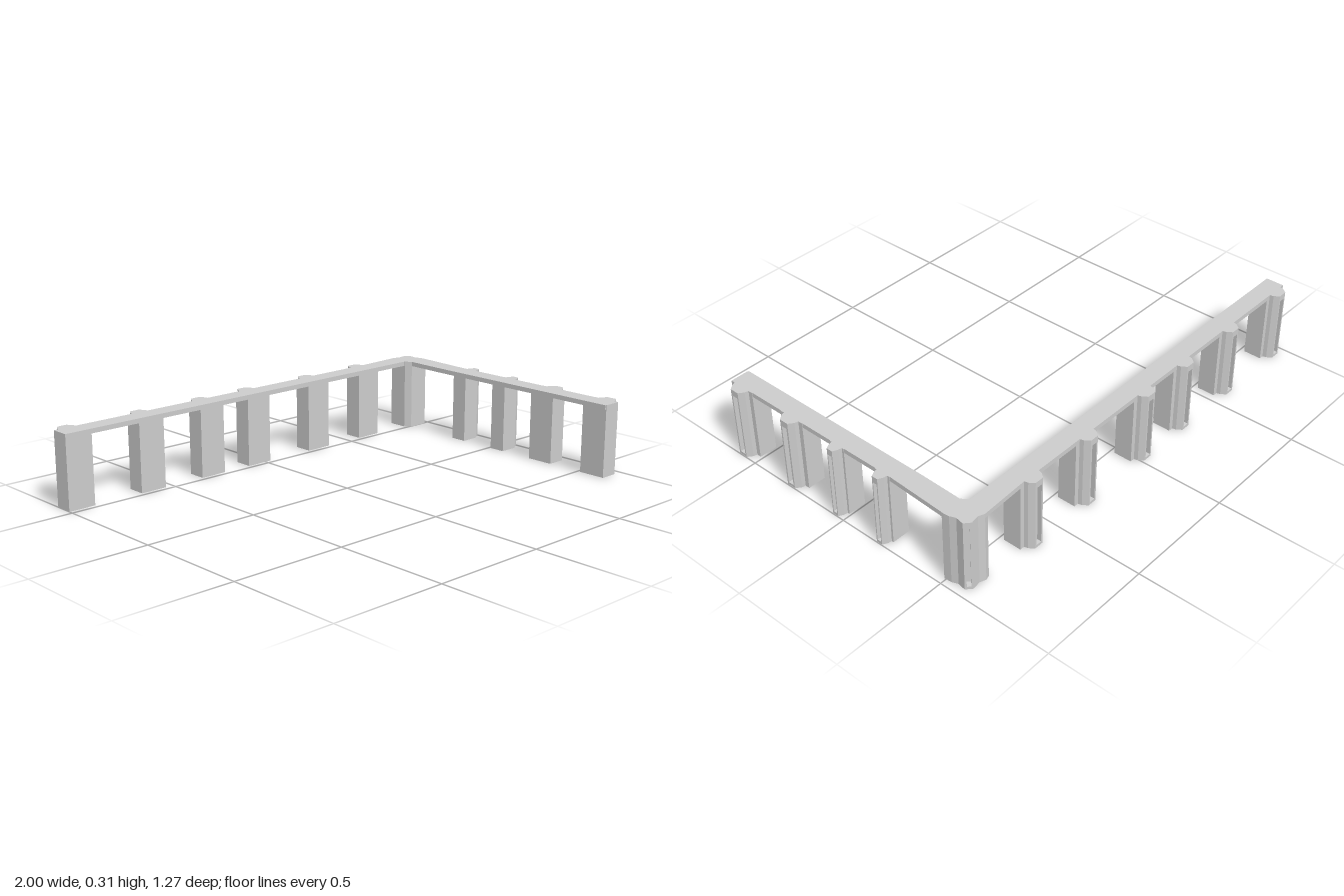
import * as THREE from 'three';

const HEIGHT = 0.315;
const BEAM = 0.02;
const material = new THREE.MeshStandardMaterial({
  color: 0xcccccc, flatShading: true, side: THREE.DoubleSide,
});

// Hollow post, open underneath: stacks plain and grooved [x, z] rings, then closes the top.
function postGeometry(plain, grooved, cx, cz) {
  const rings = [
    [plain, 0], [plain, 0.012], [grooved, 0.012],
    [grooved, 0.287], [plain, 0.287], [plain, HEIGHT],
  ];
  const n = plain.length;
  const pos = [];
  const index = [];
  for (const [ring, y] of rings) for (const [x, z] of ring) pos.push(x, y, z);
  for (let r = 0; r < rings.length - 1; r++) {
    for (let i = 0; i < n; i++) {
      const j = (i + 1) % n;
      const a = r * n + i, b = r * n + j, c = b + n, d = a + n;
      index.push(a, d, c, a, c, b);
    }
  }
  // top cap fan
  const centre = pos.length / 3;
  const last = (rings.length - 1) * n;
  pos.push(cx, HEIGHT, cz);
  for (let i = 0; i < n; i++) index.push(centre, last + (i + 1) % n, last + i);
  const g = new THREE.BufferGeometry();
  g.setAttribute('position', new THREE.Float32BufferAttribute(pos, 3));
  g.setIndex(index);
  const flat = g.toNonIndexed();
  flat.computeVertexNormals();
  return flat;
}

// Box post with a bevelled rib on its outer (-z) face; the rib has a sunken slot.
function ribbedPost(halfWidth, rib) {
  const outline = (slotZ) => {
    const half = [
      [halfWidth, 0], [halfWidth, -0.08], [rib, -0.08], [rib * 0.9, -0.096],
      [rib * 0.5, -0.117], [rib * 0.33, -0.117], [rib * 0.33, slotZ],
    ];
    return [...half.map(([x, z]) => [-x, z]), ...half.reverse()];
  };
  return postGeometry(outline(-0.117), outline(-0.098), 0, -0.04);
}

export function createModel() {
  const model = new THREE.Group();
  const add = (name, geometry) => {
    const mesh = new THREE.Mesh(geometry, material);
    mesh.name = name;
    model.add(mesh);
    return mesh;
  };

  // L-shaped top beam, outlined as [x, z]
  const beamOutline = [
    [-1, -0.52], [0.86, -0.52], [0.88, -0.5], [0.876, -0.3], [0.876, 0.63], [0.958, 0.63],
    [0.958, -0.22], [0.972, -0.5], [0.97, -0.525], [0.96, -0.55], [0.966, -0.585],
    [0.942, -0.606], [0.905, -0.6], [0.88, -0.61], [0.66, -0.6], [-1, -0.6],
  ];
  const beam = new THREE.ExtrudeGeometry(
    new THREE.Shape(beamOutline.map(([x, z]) => new THREE.Vector2(x, -z))),
    { depth: BEAM, bevelEnabled: false },
  );
  beam.rotateX(-Math.PI / 2).translate(0, HEIGHT - BEAM, 0);
  add('topBeam', beam);

  // Back row
  const widePost = ribbedPost(0.06, 0.04);
  for (const x of [-0.94, -0.595, -0.285, -0.032, 0.315, 0.625]) {
    add('backPost', widePost).position.set(x, 0, -0.52);
  }

  // Side row, two wide posts and two narrow ones
  const narrowPost = ribbedPost(0.036, 0.027);
  for (const [z, geometry] of [
    [0.573, widePost], [0.291, widePost], [0.044, narrowPost], [-0.189, narrowPost],
  ]) {
    const post = add('sidePost', geometry);
    post.position.set(0.88, 0, z);
    post.rotation.y = -Math.PI / 2;
  }

  // Corner post with its slot on the outer diagonal
  const corner = (inset) => [
    [0.88, -0.492], [0.86, -0.518], [0.86, -0.604], [0.88, -0.61], [0.905, -0.6],
    [0.942, -0.606], [0.948, -0.601], [0.948 - inset, -0.601 + inset],
    [0.96 - inset, -0.59 + inset], [0.96, -0.59], [0.966, -0.585],
    [0.96, -0.55], [0.97, -0.525], [0.972, -0.492],
  ];
  add('cornerPost', postGeometry(corner(0), corner(0.018), 0.915, -0.55));

  return model;
}
